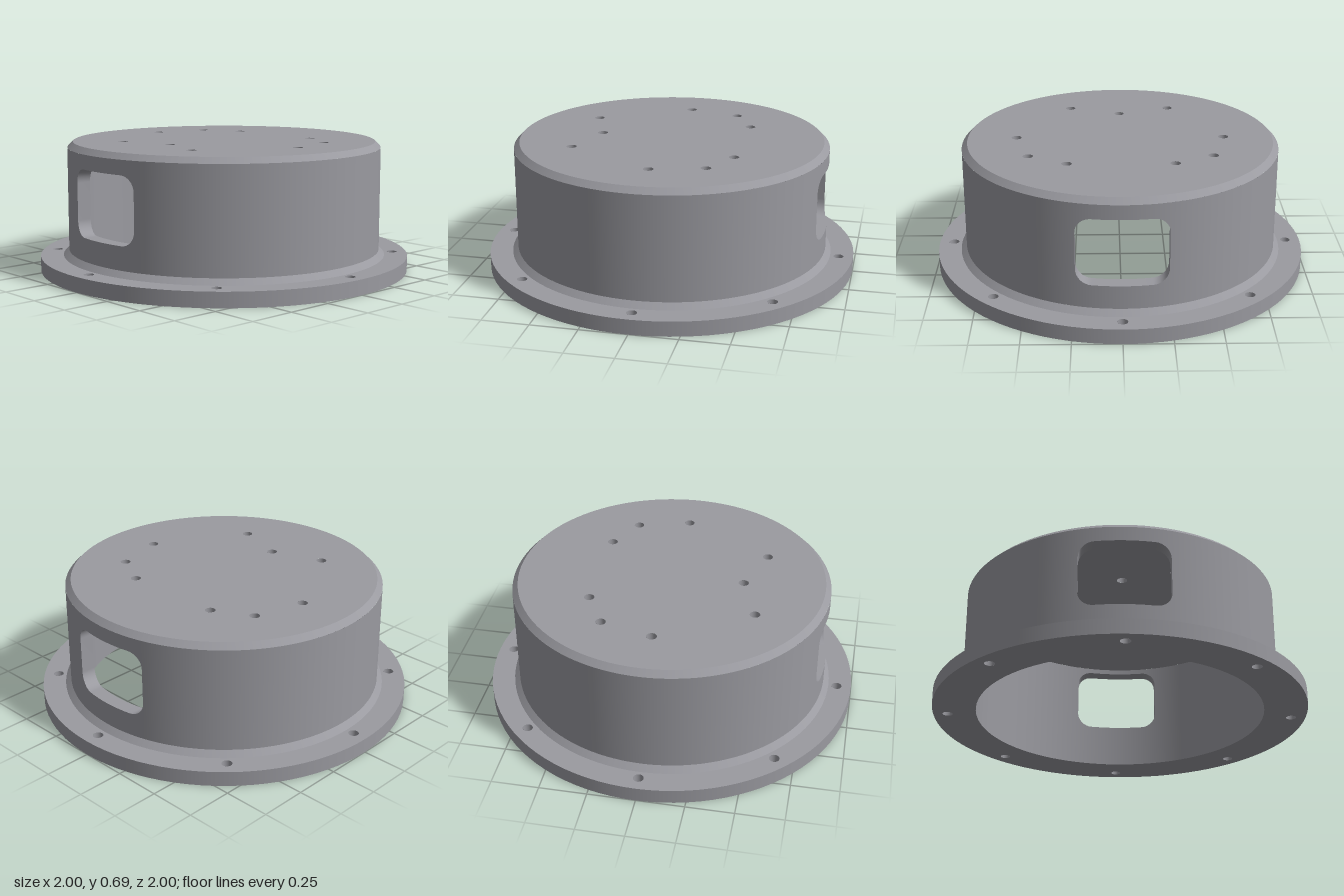
import * as THREE from 'three';

const SEG = 96;
const R = { flange: 1, foot: 0.877, wall: 0.847, lid: 0.817, inner: 0.77 };
const Y = { flange: 0.08, foot: 0.11, ceiling: 0.615, shoulder: 0.665, top: 0.695 };
const WIN = { half: 0.232, lo: 0.234, hi: 0.588, corner: 0.08 };
const HOLE = 0.027;

const color = 0x9a9aa0;
const material = new THREE.MeshStandardMaterial({ color });
const holeMaterial = new THREE.MeshStandardMaterial({ color, side: THREE.DoubleSide });

function add(parent, name, geometry, mat = material) {
  const mesh = new THREE.Mesh(geometry, mat);
  mesh.name = name;
  parent.add(mesh);
  return mesh;
}

// Conical or cylindrical band; faces outward when y rises, inward when it falls
function band(r0, y0, r1, y1, start = 0, length = Math.PI * 2, seg = SEG) {
  const profile = [new THREE.Vector2(r0, y0), new THREE.Vector2(r1, y1)];
  return new THREE.LatheGeometry(profile, seg, start, length);
}

// Flat disc or ring with round holes, facing up or down
function plate(outer, inner, holes, y, up) {
  const shape = new THREE.Shape().absarc(0, 0, outer, 0, Math.PI * 2);
  const cut = (x, z, r) => shape.holes.push(new THREE.Path().absarc(x, z, r, 0, Math.PI * 2, true));
  if (inner) cut(0, 0, inner);
  holes.forEach(([x, z]) => cut(x, up ? -z : z, HOLE));
  return new THREE.ShapeGeometry(shape, SEG / 2)
    .rotateX(up ? -Math.PI / 2 : Math.PI / 2)
    .translate(0, y, 0);
}

function drillHoles(parent, name, holes, y0, y1) {
  for (const [x, z] of holes) {
    const bore = new THREE.CylinderGeometry(HOLE, HOLE, y1 - y0, 24, 1, true);
    add(parent, name, bore.translate(x, (y0 + y1) / 2, z), holeMaterial);
  }
}

// Window outline as columns from +z to -z, each with its lower and upper edge
function windowColumns() {
  const { half, lo, hi, corner } = WIN, cols = [], flat = half - corner;
  const push = (z, a) => {
    const rise = corner * (1 - Math.cos(a));
    cols.push({ z, lo: lo + rise, hi: hi - rise });
  };
  for (let i = 0; i <= 8; i++) {
    const a = (1 - i / 8) * Math.PI / 2;
    push(flat + corner * Math.sin(a), a);
  }
  for (let i = 1; i < 8; i++) push(flat * (1 - i / 4), 0);
  for (let i = 0; i <= 8; i++) {
    const a = (i / 8) * Math.PI / 2;
    push(-flat - corner * Math.sin(a), a);
  }
  return cols;
}

// Strip of wall above or below the window, following its outline
function windowStrip(cols, r, low, high, inward) {
  const g = band(r, 0, r, inward ? -1 : 1, 0, 1, cols.length - 1);
  const pos = g.attributes.position, nor = g.attributes.normal, s = inward ? -1 : 1;
  cols.forEach((c, i) => {
    const x = Math.sqrt(r * r - c.z * c.z);
    const ys = inward ? [high(c), low(c)] : [low(c), high(c)];
    ys.forEach((y, j) => {
      pos.setXYZ(i * 2 + j, x, y, c.z);
      nor.setXYZ(i * 2 + j, s * x / r, 0, s * c.z / r);
    });
  });
  return g;
}

// Half of a cylindrical wall (the +x side) with a window in its middle
function halfWall(parent, name, cols, r, y0, y1, inward) {
  const a = Math.acos(WIN.half / r);
  const [p, q] = inward ? [y1, y0] : [y0, y1];
  add(parent, name, band(r, p, r, q, 0, a, 36));
  add(parent, name, band(r, p, r, q, Math.PI - a, a, 36));
  add(parent, name, windowStrip(cols, r, () => y0, c => c.lo, inward));
  add(parent, name, windowStrip(cols, r, c => c.hi, () => y1, inward));
}

// Straight-cut edge of the window through the wall thickness
function windowReveal(cols) {
  const loop = [...cols].reverse().map(c => [c.z, c.lo]).concat(cols.map(c => [c.z, c.hi]));
  loop.push(loop[0]);
  const g = new THREE.PlaneGeometry(1, 1, loop.length - 1, 1);
  [R.wall, R.inner].forEach((r, row) => loop.forEach(([z, y], i) =>
    g.attributes.position.setXYZ(row * loop.length + i, Math.sqrt(r * r - z * z), y, z)));
  g.computeVertexNormals();
  return g;
}

export function createModel() {
  const model = new THREE.Group();
  model.name = 'flangedHousing';

  // Bolt circle on the flange and hole pattern in the lid
  const flangeHoles = Array.from({ length: 8 }, (_, i) => {
    const a = i * Math.PI / 4;
    return [0.922 * Math.cos(a), 0.922 * Math.sin(a)];
  });
  const lidHoles = [[-0.385, 0]];
  for (const s of [-1, 1])
    lidHoles.push([0, 0.555 * s], [0.277, 0.48 * s], [0.385, 0.277 * s], [-0.48, 0.277 * s]);

  // Flange
  const flange = new THREE.Group();
  flange.name = 'flange';
  add(flange, 'flangeUnderside', plate(R.flange, R.inner, flangeHoles, 0, false));
  add(flange, 'flangeTop', plate(R.flange, R.foot, flangeHoles, Y.flange, true));
  add(flange, 'flangeRim', band(R.flange, 0, R.flange, Y.flange));
  drillHoles(flange, 'flangeHole', flangeHoles, 0, Y.flange);

  // Lid with chamfers
  const lid = new THREE.Group();
  lid.name = 'lid';
  add(lid, 'lidTop', plate(R.lid, 0, lidHoles, Y.top, true));
  add(lid, 'lidCeiling', plate(R.inner, 0, lidHoles, Y.ceiling, false));
  add(lid, 'topChamfer', band(R.wall, Y.shoulder, R.lid, Y.top));
  drillHoles(lid, 'lidHole', lidHoles, Y.ceiling, Y.top);

  // Walls: two identical halves, each with a side window
  const cols = windowColumns();
  const walls = new THREE.Group();
  walls.name = 'walls';
  add(walls, 'footChamfer', band(R.foot, Y.flange, R.wall, Y.foot));
  for (const turn of [0, Math.PI]) {
    const half = new THREE.Group();
    half.name = turn ? 'rightWall' : 'leftWall';
    halfWall(half, 'outerWall', cols, R.wall, Y.foot, Y.shoulder, false);
    halfWall(half, 'innerWall', cols, R.inner, 0, Y.ceiling, true);
    add(half, 'windowEdge', windowReveal(cols));
    half.rotation.y = turn;
    walls.add(half);
  }

  model.add(flange, walls, lid);
  return model;
}
